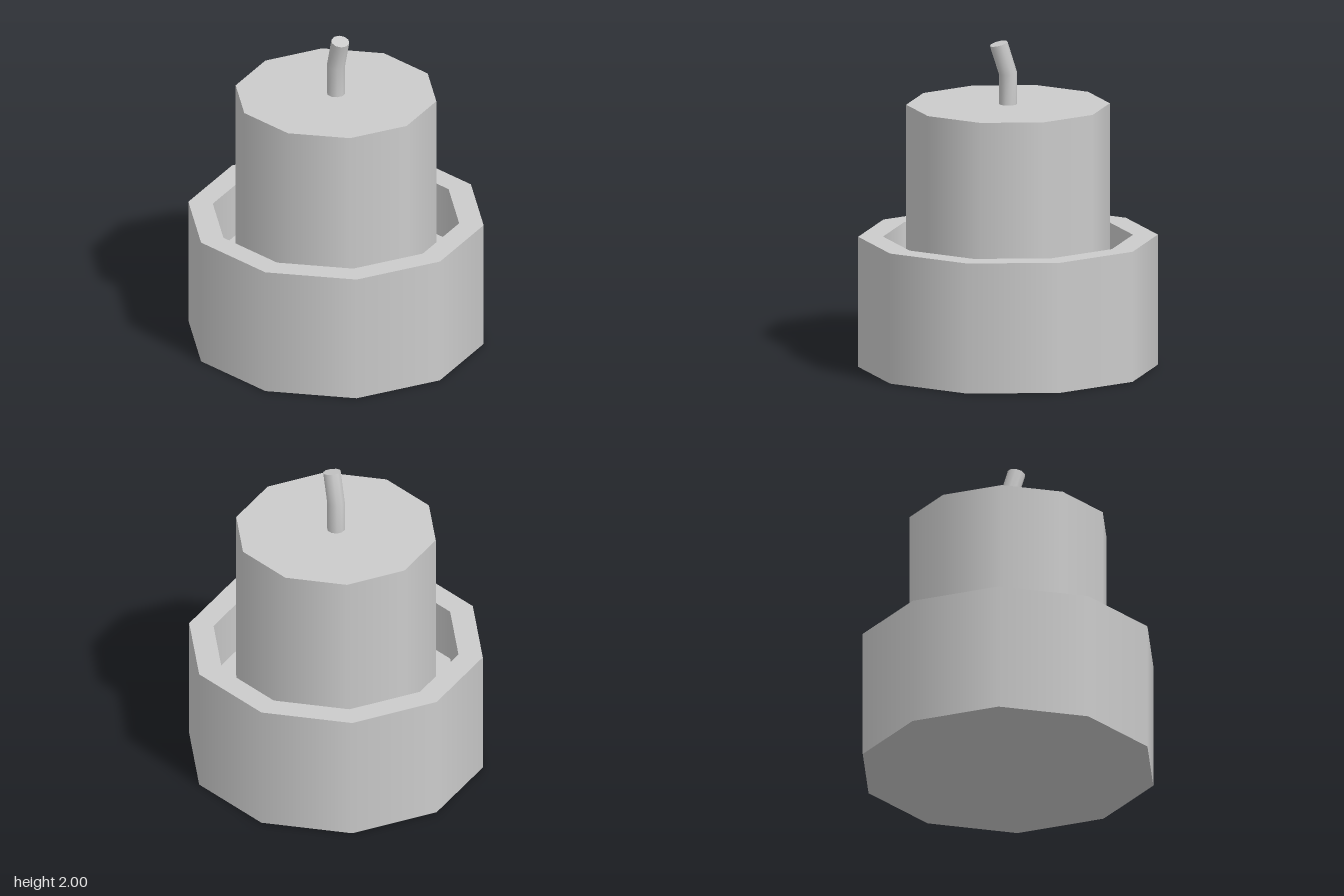
import * as THREE from 'three';
import { mergeGeometries } from 'three/addons/utils/BufferGeometryUtils.js';

const SIDES = 10;
const START = Math.PI / SIDES; // puts a corner on the x axis
const material = new THREE.MeshStandardMaterial({ color: 0xcccccc });

// Ten-sided turned solid: smooth around the axis, sharp between profile segments
function turned(name, profile) {
  const points = profile.map(([r, y]) => new THREE.Vector2(r, y));
  const bands = points.slice(1).map((p, i) =>
    new THREE.LatheGeometry([points[i], p], SIDES, START, Math.PI * 2));
  const mesh = new THREE.Mesh(mergeGeometries(bands), material);
  mesh.name = name;
  return mesh;
}

// Bent wick: a cylinder whose three rings are tilted and placed along the bend
function makeWick() {
  const rings = [
    { y: 1.61, z: 0, tilt: 0 },
    { y: 1.80, z: 0, tilt: 0.13 },
    { y: 1.985, z: 0.06, tilt: 0.26 },
  ];
  const geo = new THREE.CylinderGeometry(0.055, 0.055, 2, SIDES, 2, false, START);
  const { position, normal } = geo.attributes;
  const axis = new THREE.Vector3(1, 0, 0);
  const v = new THREE.Vector3();
  for (let i = 0; i < position.count; i++) {
    const ring = rings[Math.round(position.getY(i)) + 1];
    v.set(position.getX(i), 0, position.getZ(i)).applyAxisAngle(axis, ring.tilt);
    position.setXYZ(i, v.x, v.y + ring.y, v.z + ring.z);
    v.fromBufferAttribute(normal, i).applyAxisAngle(axis, ring.tilt);
    normal.setXYZ(i, v.x, v.y, v.z);
  }
  const mesh = new THREE.Mesh(geo, material);
  mesh.name = 'wick';
  return mesh;
}

export function createModel() {
  const model = new THREE.Group();
  model.name = 'candleInHolder';
  const floor = 0.46;

  // Holder: base, outer wall, rim, inner wall, inner floor
  model.add(turned('holder', [
    [0, 0], [0.905, 0], [0.905, 0.8], [0.755, 0.8], [0.755, floor], [0, floor],
  ]));

  // Candle standing on the holder floor
  model.add(turned('candle', [[0, floor], [0.615, floor], [0.615, 1.61], [0, 1.61]]));

  model.add(makeWick());
  return model;
}
